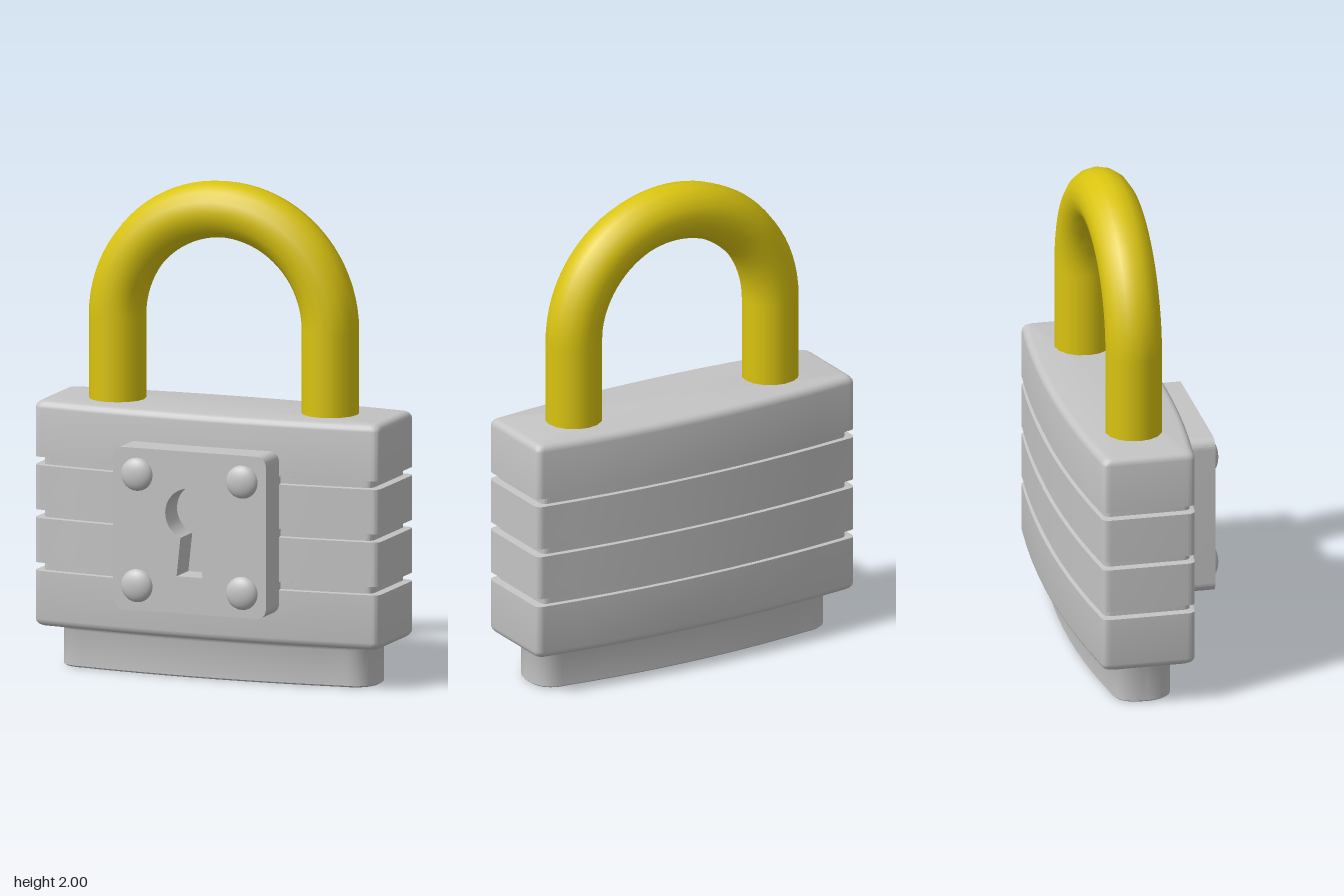
import * as THREE from 'three';
import { toCreasedNormals } from 'three/addons/utils/BufferGeometryUtils.js';

const AXIS_Z = -0.08; // depth centre of body, foot and shackle

// Outline in x/z with bulging long sides and rounded corners
function outline(X, mid, end, r) {
  const s = new THREE.Shape();
  const bulge = 2 * mid - end;
  s.moveTo(-X + r, -end);
  s.quadraticCurveTo(0, -bulge, X - r, -end);
  s.quadraticCurveTo(X, -end, X, -end + r);
  s.lineTo(X, end - r);
  s.quadraticCurveTo(X, end, X - r, end);
  s.quadraticCurveTo(0, bulge, -X + r, end);
  s.quadraticCurveTo(-X, end, -X, end - r);
  s.lineTo(-X, -end + r);
  s.quadraticCurveTo(-X, -end, -X + r, -end);
  const pts = s.getPoints(10);
  pts.pop();
  return pts;
}

// Skin through outlines stacked in y; each level is [y, insetX, insetZ]
function loft(levels, X, mid, end, r) {
  const pos = [], idx = [];
  let n = 0;
  for (const [y, dx, dz] of levels) {
    const pts = outline(X - dx, mid - dz, end - dz, r);
    n = pts.length;
    for (const p of pts) pos.push(p.x, y, p.y);
  }
  const last = (levels.length - 1) * n;
  for (let l = 0; l < last; l += n) {
    for (let i = 0; i < n; i++) {
      const a = l + i, b = l + (i + 1) % n;
      idx.push(a, a + n, b, b, a + n, b + n);
    }
  }
  const c = pos.length / 3; // cap centres
  pos.push(0, levels[0][0], 0, 0, levels[levels.length - 1][0], 0);
  for (let i = 0; i < n; i++) {
    const j = (i + 1) % n;
    idx.push(c, i, j, c + 1, last + j, last + i);
  }
  const g = new THREE.BufferGeometry();
  g.setAttribute('position', new THREE.Float32BufferAttribute(pos, 3));
  g.setIndex(idx);
  return toCreasedNormals(g, 0.6);
}

export function createModel() {
  const model = new THREE.Group();
  model.name = 'padlock';
  const steel = new THREE.MeshStandardMaterial({ color: 0xc4c4c4 });
  steel.name = 'steel grey';
  const brass = new THREE.MeshStandardMaterial({ color: 0xdac410 });
  brass.name = 'brass yellow';

  const add = (name, geometry, material, x = 0, y = 0, z = 0) => {
    const m = new THREE.Mesh(geometry, material);
    m.name = name;
    m.position.set(x, y, z);
    model.add(m);
    return m;
  };

  // Body: rounded top and bottom edges, three grooves all round
  const R = 0.03, levels = [];
  for (let i = 0; i <= 4; i++) {
    const a = i * Math.PI / 8;
    levels.push([0.17 + R * (1 - Math.sin(a)), R * (1 - Math.cos(a)), R * (1 - Math.cos(a))]);
  }
  levels.reverse();
  for (const y of [0.413, 0.628, 0.843]) {
    levels.push([y - 0.017, 0, 0], [y - 0.014, 0.033, 0.014], [y + 0.014, 0.033, 0.014], [y + 0.017, 0, 0]);
  }
  for (let i = 0; i <= 4; i++) {
    const a = i * Math.PI / 8;
    levels.push([1.088 - R * (1 - Math.sin(a)), R * (1 - Math.cos(a)), R * (1 - Math.cos(a))]);
  }
  // order every level from bottom to top
  levels.sort((p, q) => p[0] - q[0]);
  add('body', loft(levels, 0.745, 0.236, 0.192, 0.035), steel, 0, 0, AXIS_Z);

  // Foot with a small flare where it meets the body
  const footLevels = [[0, 0.006, 0.006], [0.006, 0, 0], [0.15, 0, 0], [0.163, -0.005, -0.005], [0.175, -0.018, -0.018]];
  add('foot', loft(footLevels, 0.675, 0.157, 0.12, 0.11), steel, 0, 0, AXIS_Z);

  // Shackle: half ring on two straight legs
  add('shackleArch', new THREE.TorusGeometry(0.46, 0.115, 16, 40, Math.PI), brass, 0, 1.425, AXIS_Z);
  for (const side of [-1, 1]) {
    add(side > 0 ? 'leftShackleLeg' : 'rightShackleLeg',
      new THREE.CylinderGeometry(0.115, 0.115, 0.385, 16, 1, true).rotateY(Math.PI / 2),
      brass, side * 0.46, 1.2325, AXIS_Z);
  }

  // Lock plate with rounded corners and a keyhole
  const W = 0.33, H = 0.33, r = 0.04;
  const plate = new THREE.Shape();
  plate.absarc(W - r, H - r, r, 0, Math.PI / 2);
  plate.absarc(-W + r, H - r, r, Math.PI / 2, Math.PI);
  plate.absarc(-W + r, -H + r, r, Math.PI, Math.PI * 1.5);
  plate.absarc(W - r, -H + r, r, Math.PI * 1.5, Math.PI * 2);
  const hole = new THREE.Path();
  const holeY = 0.075, gap = 0.38; // gap: half angle of the opening into the slot
  hole.moveTo(-0.056, -0.18);
  hole.lineTo(0.056, -0.18);
  hole.absarc(0, holeY, 0.105, -Math.PI / 2 + gap, Math.PI * 1.5 - gap);
  hole.closePath();
  plate.holes.push(hole);
  const plateGeo = new THREE.ExtrudeGeometry(plate, { depth: 0.185, bevelEnabled: false, curveSegments: 16 });
  add('lockPlate', toCreasedNormals(plateGeo, 0.6), steel, 0, 0.63, 0.1);
  add('keyholeFloor', new THREE.BoxGeometry(0.26, 0.42, 0.008), steel, 0, 0.64, 0.156);

  // Domed rivets at the plate corners
  const dome = new THREE.SphereGeometry(0.068, 24, 8, 0, Math.PI * 2, 0, Math.PI / 2)
    .rotateX(Math.PI / 2).scale(1, 1, 0.5);
  for (const x of [-0.227, 0.227]) {
    for (const y of [0.4, 0.853]) add('rivet', dome, steel, x, y, 0.283);
  }
  return model;
}
